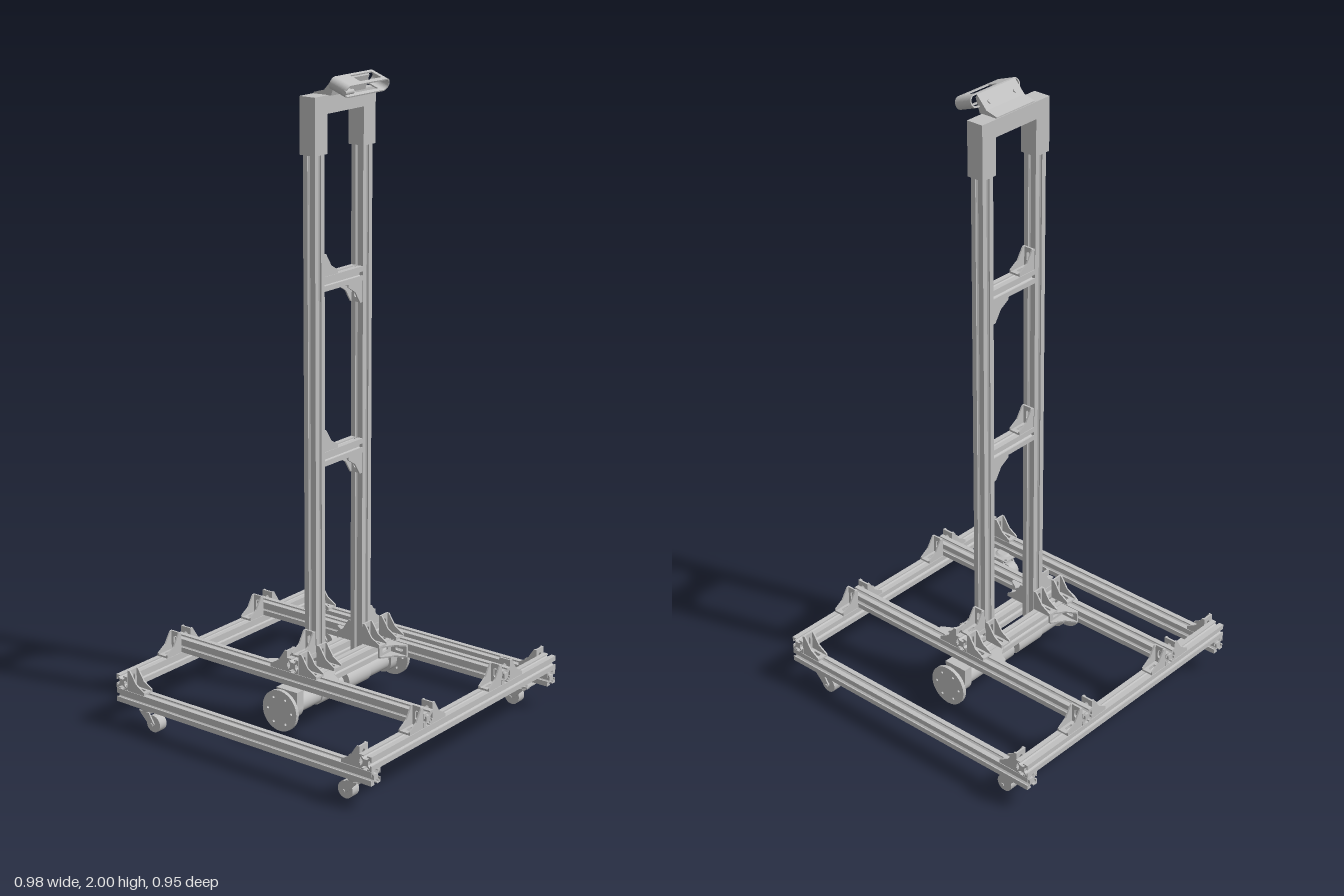
import * as THREE from 'three';

const grey = new THREE.MeshStandardMaterial({ color: 0xc0c0c0 });
grey.name = 'aluminium grey';
const H = 0.022; // half width of the slotted beams
const V = (x, y, z) => new THREE.Vector3(x, y, z);
const poly = (pts) => new THREE.Shape(pts.map(([x, y]) => new THREE.Vector2(x, y)));

// Centred, unbevelled extrusion along z
function slab(shape, depth, curveSegments = 10) {
  const g = new THREE.ExtrudeGeometry(shape, { depth, bevelEnabled: false, curveSegments });
  return g.translate(0, 0, -depth / 2);
}

function add(parent, name, geo, x = 0, y = 0, z = 0) {
  const m = new THREE.Mesh(geo, grey);
  m.name = name;
  m.position.set(x, y, z);
  parent.add(m);
  return m;
}

// T-slot cross-section: one side repeated four times
function beamShape() {
  const side = [[H, -H], [H, -0.006], [0.018, -0.006], [0.018, -0.014], [0.01, -0.006],
    [0.01, 0.006], [0.018, 0.014], [0.018, 0.006], [H, 0.006]];
  const pts = [];
  for (let k = 0; k < 4; k++) {
    const c = Math.round(Math.cos(k * Math.PI / 2)), s = Math.round(Math.sin(k * Math.PI / 2));
    for (const [x, y] of side) pts.push([x * c - y * s, x * s + y * c]);
  }
  return poly(pts);
}

function beam(parent, name, axis, length, x, y, z) {
  const g = slab(beamShape(), length);
  if (axis === 'x') g.rotateY(Math.PI / 2);
  if (axis === 'y') g.rotateX(-Math.PI / 2);
  return add(parent, name, g, x, y, z);
}

// Bracket slot outline, long in y
function slot(w, l, cy) {
  const s = new THREE.Path(), r = w / 2, d = l / 2 - r;
  s.absarc(0, cy + d, r, 0, Math.PI, false);
  s.absarc(0, cy - d, r, Math.PI, Math.PI * 2, false);
  s.closePath();
  return s;
}

// Corner bracket: two slotted plates and two triangular cheeks
const L = 0.066, W = 0.04, T = 0.006;
const plateShape = poly([[-W / 2, 0], [W / 2, 0], [W / 2, L], [-W / 2, L]]);
plateShape.holes.push(slot(0.013, 0.03, 0.037));
const plateGeo = slab(plateShape, T, 6);
const baseGeo = plateGeo.clone().rotateX(-Math.PI / 2).rotateY(-Math.PI / 2).translate(0, T / 2, 0);
const uprightGeo = plateGeo.clone().rotateY(Math.PI / 2).translate(T / 2, 0, 0);
const cheekGeo = slab(poly([[0, 0], [L, 0], [L, 0.01], [0.034, 0.029], [0.01, L], [0, L]]), 0.005);

function bracket(parent, pos, a, b) {
  const g = new THREE.Group();
  g.name = 'cornerBracket';
  add(g, 'bracketBase', baseGeo);
  add(g, 'bracketUpright', uprightGeo);
  for (const s of [-1, 1]) add(g, 'bracketCheek', cheekGeo, 0, 0, s * (W / 2 - 0.0025));
  g.quaternion.setFromRotationMatrix(new THREE.Matrix4().makeBasis(a, b, a.clone().cross(b)));
  g.position.copy(pos);
  parent.add(g);
}

function cylZ(parent, name, r, len, x, y, z, seg = 28) {
  return add(parent, name, new THREE.CylinderGeometry(r, r, len, seg).rotateX(Math.PI / 2), x, y, z);
}

// Swivel caster; the wheel trails towards the middle
function caster(parent, sx, sz) {
  const g = new THREE.Group();
  g.name = 'caster';
  const plate = poly([[-0.043, -0.038], [0.043, -0.038], [0.043, 0.038], [-0.043, 0.038]]);
  for (const x of [-1, 1]) for (const y of [-1, 1]) {
    plate.holes.push(new THREE.Path().absarc(x * 0.034, y * 0.029, 0.005, 0, Math.PI * 2, true));
  }
  add(g, 'casterPlate', slab(plate, 0.004, 5).rotateX(Math.PI / 2), 0, 0.079, 0);
  add(g, 'casterDome', new THREE.CylinderGeometry(0.02, 0.028, 0.005, 20), 0, 0.0835, 0);
  add(g, 'casterSwivel', new THREE.CylinderGeometry(0.028, 0.024, 0.018, 20), 0, 0.068, 0);
  const fork = poly([[-0.022, 0.064], [0.018, 0.064], [0.037, 0.032], [0.03, 0.02], [0.02, 0.022]]);
  for (const s of [-1, 1]) add(g, 'casterFork', slab(fork, 0.005), 0, 0, s * 0.022);
  cylZ(g, 'casterWheel', 0.027, 0.03, 0.028, 0.027, 0, 24);
  cylZ(g, 'casterAxle', 0.006, 0.054, 0.028, 0.027, 0, 10);
  if (sx > 0) g.rotation.y = Math.PI;
  g.position.set(sx * 0.398, 0, sz * 0.425);
  parent.add(g);
}

// Motor with gearbox, mount, hub and drilled wheel disc, pointing along sz
function drive(parent, sz) {
  const g = new THREE.Group();
  g.name = 'driveUnit';
  const y = 0.117;
  cylZ(g, 'motor', 0.035, 0.11, 0, y, sz * 0.067);
  cylZ(g, 'gearbox', 0.031, 0.1, 0, y, sz * 0.172);
  cylZ(g, 'motorFlange', 0.04, 0.03, 0, y, sz * 0.235);
  add(g, 'motorMount', new THREE.BoxGeometry(0.08, 0.055, 0.03), 0, 0.145, sz * 0.235);
  cylZ(g, 'wheelHub', 0.025, 0.024, 0, y, sz * 0.261);
  const disc = new THREE.Shape().absarc(0, 0, 0.065, 0, Math.PI * 2, false);
  for (let k = 0; k < 6; k++) {
    const a = k * Math.PI / 3;
    disc.holes.push(new THREE.Path().absarc(0.045 * Math.cos(a), 0.045 * Math.sin(a), 0.004, 0, Math.PI * 2, true));
  }
  add(g, 'wheelDisc', slab(disc, 0.012, 20), 0, y, sz * 0.279);
  parent.add(g);
}

// Open-fronted sensor housing: windowed top and bottom panels with rounded ends
function sensor(parent) {
  const g = new THREE.Group();
  g.name = 'sensor';
  const r = 0.0195, depth = 0.062, half = 0.083, wall = 0.004;
  const panel = poly([[-depth / 2, -half], [depth / 2, -half], [depth / 2, half], [-depth / 2, half]]);
  panel.holes.push(new THREE.Path([[-0.021, -0.027], [-0.021, 0.073], [0.017, 0.073], [0.017, -0.027]]
    .map(([x, y]) => new THREE.Vector2(x, y))));
  const end = new THREE.Shape();
  end.absarc(0, 0, r, 0, Math.PI, false);
  end.absarc(0, 0, r - wall, Math.PI, 0, true);
  const turn = new THREE.Matrix4().makeBasis(V(0, 1, 0), V(0, 0, 1), V(1, 0, 0));
  const endGeo = slab(end, depth, 12).applyMatrix4(turn);
  for (const s of [-1, 1]) {
    add(g, 'sensorPanel', slab(panel, wall).rotateX(-Math.PI / 2), 0, s * (r - wall / 2), 0);
    add(g, 'sensorEnd', endGeo, 0, 0, s * half).rotation.x = s > 0 ? 0 : Math.PI;
  }
  g.rotation.z = -0.35;
  g.position.set(0.072, 1.969, -0.007);
  parent.add(g);
}

export function createModel() {
  const root = new THREE.Group();
  root.name = 'wheeledMast';
  const base = new THREE.Group(), mast = new THREE.Group(), head = new THREE.Group();
  base.name = 'baseFrame';
  mast.name = 'mast';
  head.name = 'sensorHead';
  root.add(base, mast, head);
  const up = V(0, 1, 0);

  // Base frame, drives and casters
  for (const s of [-1, 1]) {
    beam(base, 'endBeam', 'x', 0.976, 0, 0.105, s * 0.451);
    beam(base, 'sideBeam', 'z', 0.946, s * 0.466, 0.15, 0);
    beam(base, 'middleBeam', 'x', 0.976, 0, 0.195, s * 0.2);
    beam(base, 'mastBearer', 'z', 0.356, s * 0.047, 0.195, 0);
    beam(base, 'mastStub', 'z', 0.087, 0, 0.24, s * 0.1785);
    drive(base, s);
  }
  for (const sx of [-1, 1]) for (const sz of [-1, 1]) {
    const ax = V(sx, 0, 0), az = V(0, 0, sz);
    caster(base, sx, sz);
    bracket(base, V(sx * 0.444, 0.127, sz * 0.451), V(-sx, 0, 0), up);
    bracket(base, V(sx * 0.466, 0.172, sz * 0.222), az, up);
    bracket(base, V(sx * 0.466, 0.172, sz * 0.178), V(0, 0, -sz), up);
    bracket(base, V(sx * H, 0.217, sz * 0.2), ax, up);
    bracket(base, V(sx * H, 0.217, sz * 0.113), ax, up);
    bracket(base, V(sx * 0.069, 0.195, sz * 0.178), ax, V(0, 0, -sz));
  }

  // Mast posts and rungs
  for (const s of [-1, 1]) {
    beam(mast, 'post', 'y', 1.718, 0, 1.031, s * 0.113);
    bracket(mast, V(0, 0.262, s * 0.135), V(0, 0, s), up);
  }
  for (const y of [0.861, 1.393]) {
    beam(mast, 'rung', 'z', 0.182, 0, y, 0);
    bracket(mast, V(0, y + H, 0.091), V(0, 0, -1), up);
    bracket(mast, V(0, y - H, -0.091), V(0, 0, 1), V(0, -1, 0));
  }

  // U-shaped cap over the posts
  const cap = poly([[-0.142, 1.775], [-0.085, 1.775], [-0.085, 1.89], [0.085, 1.89],
    [0.085, 1.775], [0.142, 1.775], [0.142, 1.943], [-0.142, 1.943]]);
  add(head, 'mastCap', slab(cap, 0.056).rotateY(Math.PI / 2));

  // Bent mounting plate with two screws, then the tilted sensor
  const mount = poly([[-0.026, 1.942], [0.037, 1.942], [0.052, 1.985], [0.047, 1.995], [0.012, 1.957], [-0.026, 1.947]]);
  add(head, 'sensorMount', slab(mount, 0.16));
  for (const s of [-1, 1]) {
    const screw = add(head, 'mountScrew', new THREE.CylinderGeometry(0.006, 0.006, 0.006, 12), 0.025, 1.972, s * 0.053);
    screw.rotation.z = 0.83;
  }
  sensor(head);
  cylZ(head, 'sensorCable', 0.007, 0.04, 0.098, 1.958, 0.078, 10);
  return root;
}
